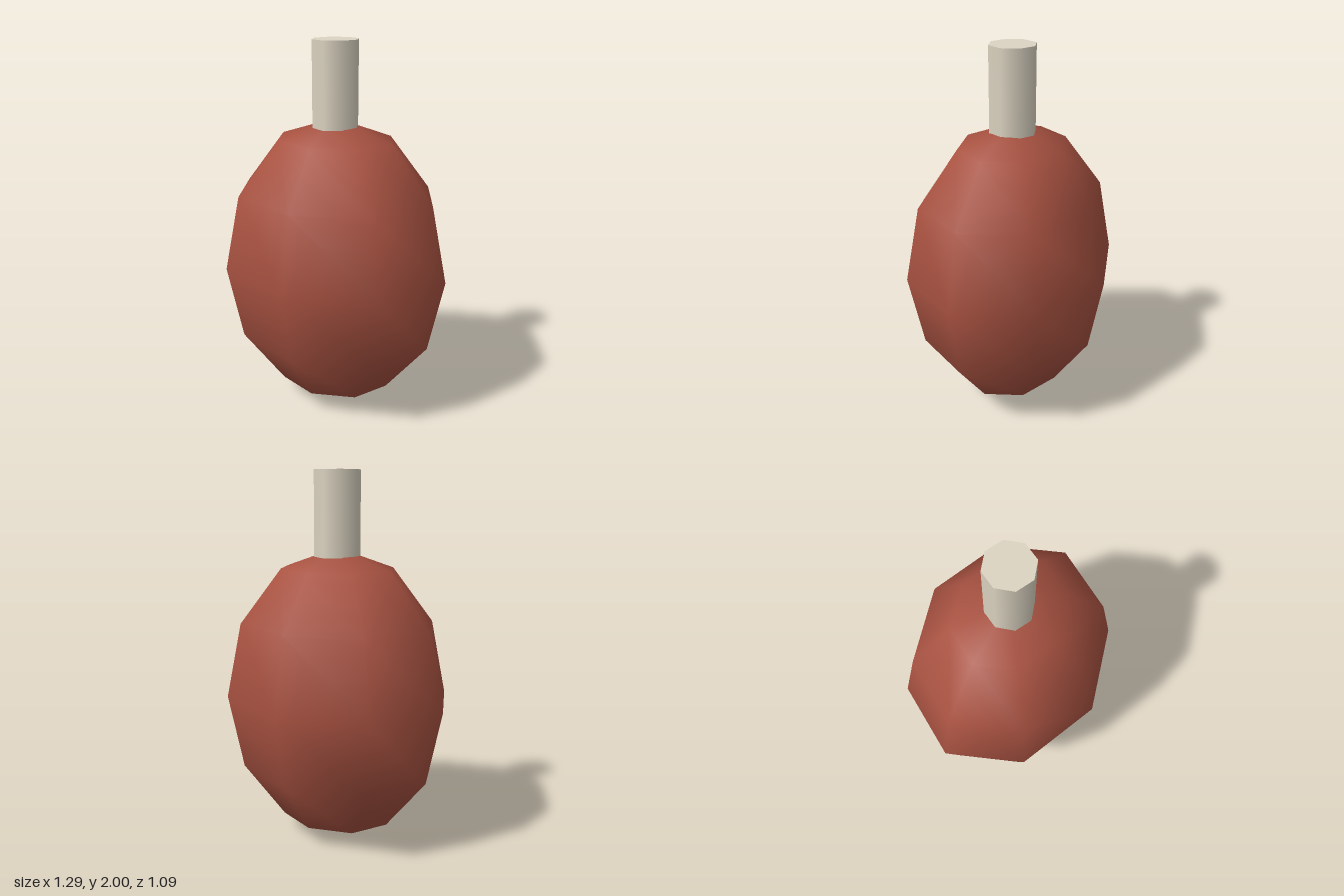
import * as THREE from 'three';

export function createModel() {
  const group = new THREE.Group();
  group.name = 'bottle';

  const clay = new THREE.MeshStandardMaterial({ color: 0xa85241 });
  clay.name = 'red clay';
  const cream = new THREE.MeshStandardMaterial({ color: 0xdcd4c2 });
  cream.name = 'cream';

  // Low-poly egg-shaped body, flattened front to back
  const bodyGeometry = new THREE.SphereGeometry(1, 8, 6);
  bodyGeometry.scale(0.647, 0.8, 0.547);
  const body = new THREE.Mesh(bodyGeometry, clay);
  body.name = 'body';
  body.position.y = 0.8;
  group.add(body);

  // Eight-sided neck, sunk slightly into the body
  const bottom = 1.5;
  const top = 2;
  const neck = new THREE.Mesh(
    new THREE.CylinderGeometry(0.124, 0.124, top - bottom, 8),
    cream
  );
  neck.name = 'neck';
  neck.position.y = (top + bottom) / 2;
  group.add(neck);

  return group;
}
